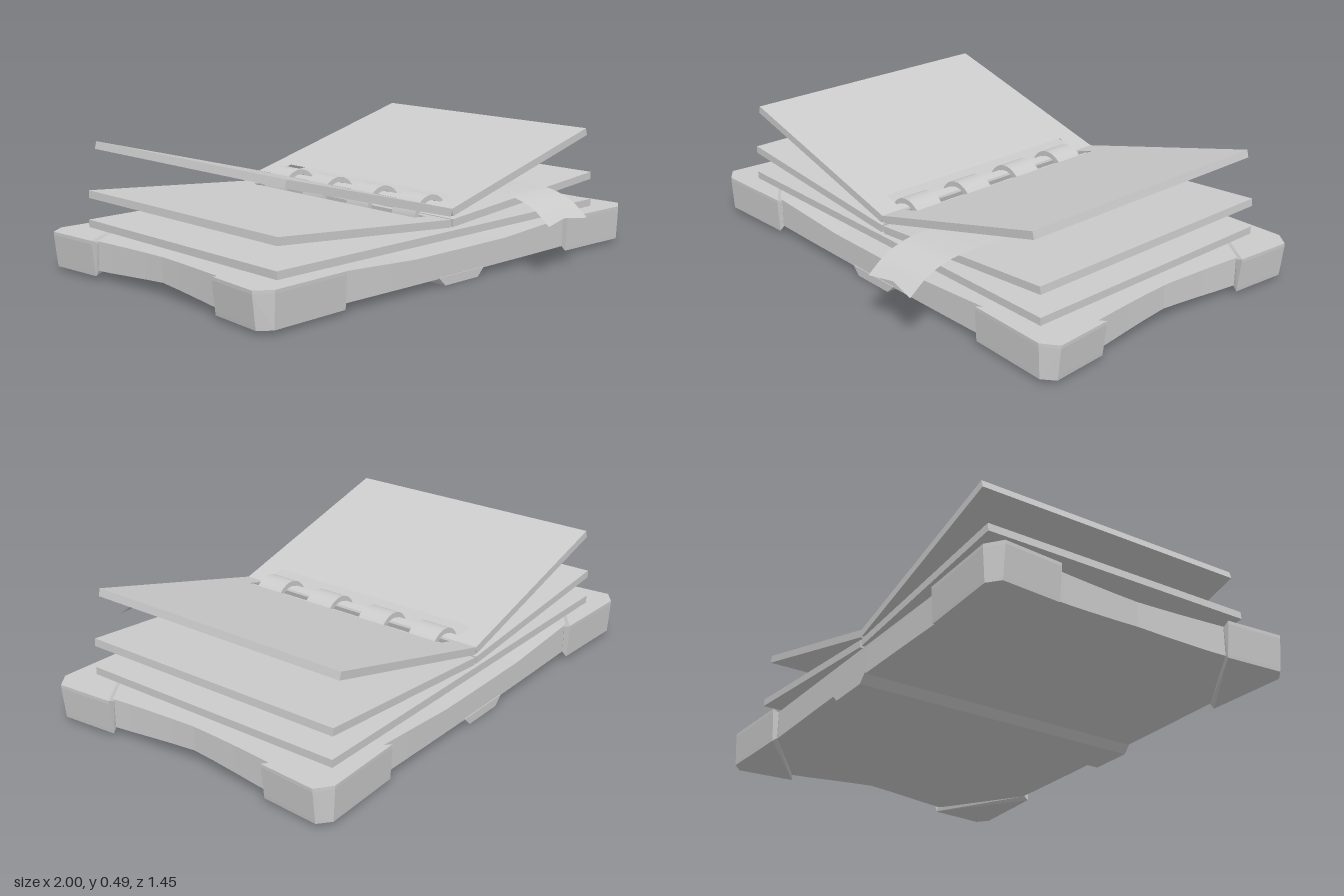
import * as THREE from 'three';
import { toCreasedNormals } from 'three/addons/utils/BufferGeometryUtils.js';
import { ConvexGeometry } from 'three/addons/geometries/ConvexGeometry.js';

const MID_Z = -0.0925;
const material = new THREE.MeshStandardMaterial({ color: 0xcccccc });
const flat = new THREE.MeshStandardMaterial({ color: 0xcccccc, flatShading: true });
const thin = new THREE.MeshStandardMaterial({ color: 0xcccccc, side: THREE.DoubleSide });

function addMesh(parent, name, geometry, mat = material) {
  const mesh = new THREE.Mesh(geometry, mat);
  mesh.name = name;
  parent.add(mesh);
  return mesh;
}

function rect(target, x0, x1, z0, z1) {
  target.moveTo(x0, -z0).lineTo(x1, -z0).lineTo(x1, -z1).lineTo(x0, -z1).closePath();
  return target;
}

// Sheet lying in the xz plane with slots for the rings
function sheet(x0, x1, slots) {
  const shape = rect(new THREE.Shape(), x0, x1, -0.655, 0.46);
  for (const [a, b] of slots) shape.holes.push(rect(new THREE.Path(), a, b, -0.56, 0.37));
  return new THREE.ExtrudeGeometry(shape, { depth: 0.03, bevelEnabled: false }).rotateX(-Math.PI / 2);
}

// Warped board: waisted sides, dipped middle, underside lifted at the side edges
function coverGeometry() {
  const g = new THREE.BoxGeometry(2, 2, 2, 16, 1, 12);
  const p = g.attributes.position;
  for (let i = 0; i < p.count; i++) {
    const u = p.getX(i), v = p.getZ(i);
    const x = u * (0.922 + 0.05 * Math.abs(v) ** 1.3);
    const z = MID_Z + v * (0.602 - 0.012 * u * u);
    const top = 0.125 + 0.02 * THREE.MathUtils.clamp((Math.abs(u) - 0.25) / 0.37, 0, 1);
    const bottom = 0.03 + 0.02 * u ** 4 * Math.max(0, 1 - Math.abs(v) / 0.6);
    p.setXYZ(i, x, p.getY(i) > 0 ? top : bottom, z);
  }
  return g;
}

// Triangular corner guard with a chamfer along its diagonal
function cornerGeometry(sx, sz) {
  const plan = [[0.61, 0.625], [0.94, 0.637], [1, 0.592], [0.982, 0.36], [0.952, 0.365], [0.61, 0.6]];
  const layers = [[0.015, 0.018, 0.014], [0.03, 0, 0.012], [0.14, 0, 0], [0.153, 0.018, 0]];
  const points = [];
  for (const [y, chamfer, taper] of layers) {
    plan.forEach(([x, z], i) => {
      const inner = i > 3;
      const px = x + (inner ? chamfer * 0.57 : (i === 2 || i === 3 ? -taper : 0));
      const pz = z + (inner ? chamfer * 0.82 : (i < 2 ? -taper * 0.5 : 0));
      points.push(new THREE.Vector3(sx * px, y, MID_Z + sz * pz));
    });
  }
  return new ConvexGeometry(points);
}

function ringGeometry() {
  const shape = new THREE.Shape().absarc(0, 0, 0.09, 0, Math.PI * 2);
  shape.holes.push(new THREE.Path().absarc(0, 0, 0.069, 0, Math.PI * 2));
  const g = new THREE.ExtrudeGeometry(shape, { depth: 0.12, bevelEnabled: false, curveSegments: 24 });
  return toCreasedNormals(g.translate(0, 0, -0.06), 0.6);
}

// Ribbon that droops over the front edge and ends in a swallowtail
function ribbonGeometry() {
  const curve = new THREE.CatmullRomCurve3([
    [0.25, 0.294], [0.46, 0.294], [0.55, 0.287], [0.64, 0.257], [0.718, 0.2],
  ].map(([z, y]) => new THREE.Vector3(0, y, z)));
  const g = new THREE.PlaneGeometry(0.235, 1, 2, 16);
  const p = g.attributes.position;
  for (let i = 0; i < p.count; i++) {
    const x = p.getX(i);
    const t = 0.5 - p.getY(i);
    const c = curve.getPoint(t * (Math.abs(x) < 0.01 ? 0.94 : 1));
    p.setXYZ(i, 0.37 + x, c.y, c.z);
  }
  g.computeVertexNormals();
  return g;
}

export function createModel() {
  const model = new THREE.Group();
  model.name = 'openRingBinder';

  addMesh(model, 'cover', coverGeometry(), flat);

  // Raised spine under the cover
  const spine = new THREE.Shape([[-0.09, 0], [0.09, 0], [0.125, 0.034], [-0.125, 0.034]]
    .map(([x, y]) => new THREE.Vector2(x, y)));
  addMesh(model, 'spine', new THREE.ExtrudeGeometry(spine, { depth: 1.21, bevelEnabled: false }))
    .position.z = MID_Z - 0.605;

  for (const sx of [-1, 1]) {
    for (const sz of [-1, 1]) addMesh(model, 'cornerGuard', cornerGeometry(sx, sz), flat);
  }

  // Flat bottom sheet
  addMesh(model, 'basePage', sheet(-0.86, 0.86, [[-0.105, -0.05], [0.05, 0.105]])).position.y = 0.154;

  // Two fanned pairs of pages
  const pairs = [
    { name: 'lowerPage', y: 0.197, tilt: 4.8, length: 0.86 },
    { name: 'upperPage', y: 0.237, tilt: 15, length: 0.85 },
  ];
  for (const { name, y, tilt, length } of pairs) {
    const geometry = sheet(0.007, length, [[0.042, 0.108]]);
    for (const side of [0, 1]) {
      const half = new THREE.Group();
      half.name = name + (side ? 'Right' : 'Left');
      half.rotation.y = side * Math.PI;
      // Turned half keeps the same front and back limits
      half.position.set(0, y, side ? 2 * -0.0975 : 0);
      addMesh(half, name, geometry).rotation.z = THREE.MathUtils.degToRad(tilt);
      model.add(half);
    }
  }

  // Binding rings
  const ring = ringGeometry();
  for (const z of [-0.458, -0.222, 0.036, 0.288]) {
    addMesh(model, 'bindingRing', ring).position.set(0.004, 0.215, z);
  }

  addMesh(model, 'ribbonBookmark', ribbonGeometry(), thin);
  return model;
}
